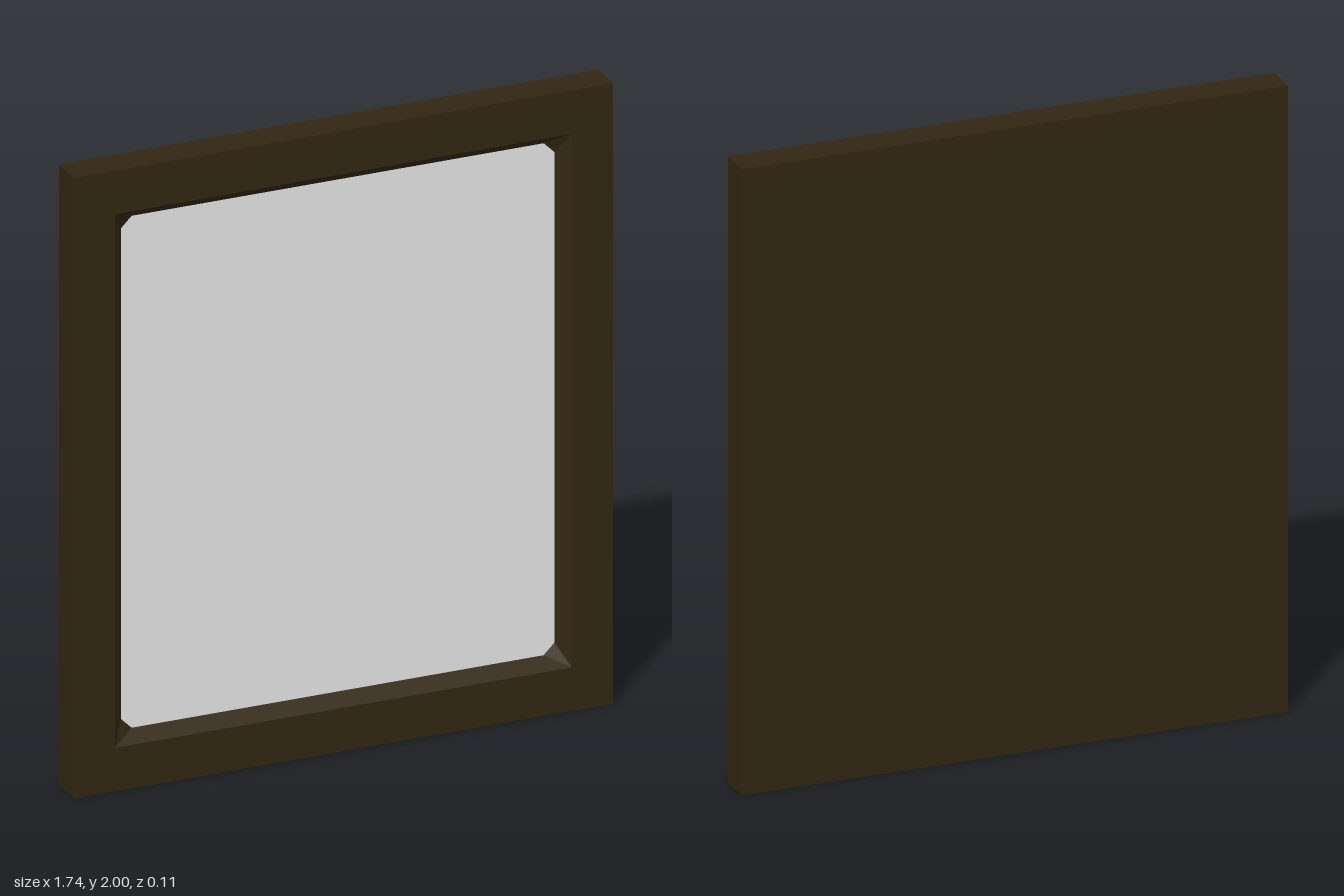
import * as THREE from 'three';

const W = 0.87, H = 1, D = 0.055;        // half sizes of the whole frame
const OPEN_X = 0.737, OPEN_Y = 0.86;     // opening at the front face
const PANE_X = 0.70, PANE_Y = 0.825;     // opening where it meets the panel
const CUT = 0.035, PANE_Z = 0.012;       // clipped corners and panel depth

// Rectangle corners, counter-clockwise seen from the front
const rect = (x, y, z) => [[x, y, z], [-x, y, z], [-x, -y, z], [x, -y, z]];

// Flat-shaded geometry from convex polygons
function polygons(faces) {
  const pos = [];
  for (const f of faces)
    for (let i = 1; i < f.length - 1; i++) pos.push(...f[0], ...f[i], ...f[i + 1]);
  const g = new THREE.BufferGeometry();
  g.setAttribute('position', new THREE.Float32BufferAttribute(pos, 3));
  g.computeVertexNormals();
  return g;
}

export function createModel() {
  const wood = new THREE.MeshStandardMaterial({ color: 0x322612 });
  wood.name = 'darkWood';
  const pale = new THREE.MeshStandardMaterial({ color: 0xe6e6e6 });
  pale.name = 'palePanel';

  const back = rect(W, H, -D), front = rect(W, H, D), open = rect(OPEN_X, OPEN_Y, D);

  // Panel outline: two points per clipped corner, counter-clockwise
  const clipped = rect(PANE_X, PANE_Y, PANE_Z).map(([x, y, z], i) => {
    const onSide = [x, y - Math.sign(y) * CUT, z], onEnd = [x - Math.sign(x) * CUT, y, z];
    return i % 2 ? [onEnd, onSide] : [onSide, onEnd];
  });

  const body = [[...back].reverse()], bevel = [];
  for (let i = 0; i < 4; i++) {
    const j = (i + 1) % 4;
    body.push([back[i], back[j], front[j], front[i]]);    // outer edge
    body.push([front[i], front[j], open[j], open[i]]);    // front border
    bevel.push([open[i], open[j], clipped[j][0], clipped[i][1]]); // sloped inner wall
    bevel.push([open[i], clipped[i][1], clipped[i][0]]);  // corner facet
  }

  const group = new THREE.Group();
  group.name = 'framedPanel';
  const add = (name, faces, material) => {
    const mesh = new THREE.Mesh(polygons(faces), material);
    mesh.name = name;
    mesh.position.y = H;
    group.add(mesh);
  };
  add('frame', body, wood);
  add('innerBevel', bevel, wood);
  add('panel', [clipped.flat()], pale);
  return group;
}
